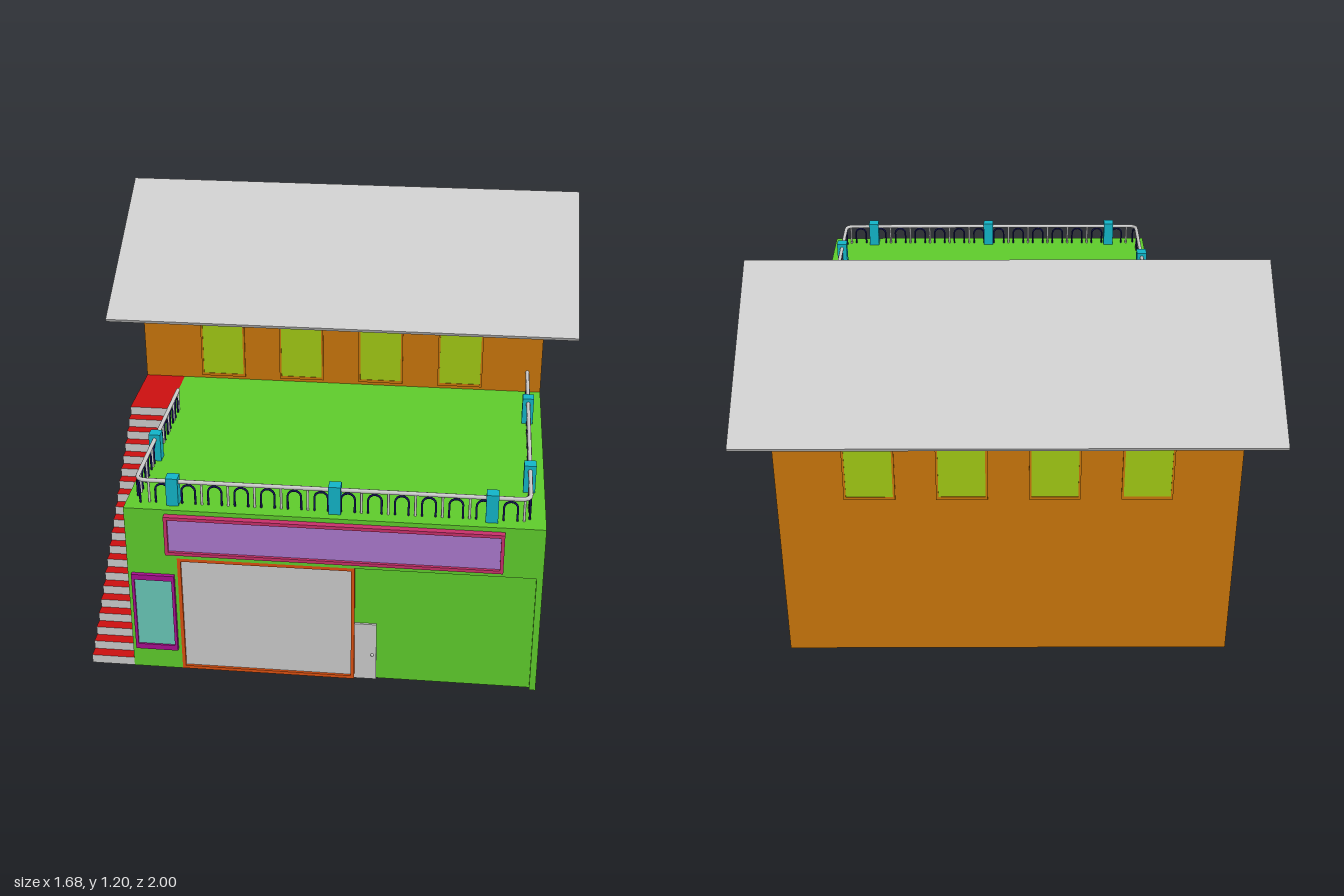
import * as THREE from 'three';

const mat = (color) => new THREE.MeshStandardMaterial({ color, side: THREE.DoubleSide });
const GREY = mat(0xcccccc), GREEN = mat(0x5fcc2c), ORANGE = mat(0xc8750b), RED = mat(0xcc1010);
const LIME = mat(0xa0c814), CYAN = mat(0x12b4c8), NAVY = mat(0x14145a), PINK = mat(0xc8306a);
const MAGENTA = mat(0xa81090), PURPLE = mat(0xaa78cc), TEAL = mat(0x68c8b8), RUST = mat(0xdc5010);

export function createModel() {
  const model = new THREE.Group();
  const add = (name, geometry, material, parent = model) => {
    const mesh = new THREE.Mesh(geometry, material);
    mesh.name = name;
    parent.add(mesh);
    return mesh;
  };
  const group = (name) => {
    const g = new THREE.Group();
    g.name = name;
    model.add(g);
    return g;
  };
  const box = (name, [x0, x1], [y0, y1], [z0, z1], material, parent) => {
    const m = add(name, new THREE.BoxGeometry(x1 - x0, y1 - y0, z1 - z0), material, parent);
    m.position.set((x0 + x1) / 2, (y0 + y1) / 2, (z0 + z1) / 2);
    return m;
  };
  const shapeOf = (points) => new THREE.Shape(points.map(([a, b]) => new THREE.Vector2(a, b)));
  // Side profile of [z, y] points swept along x
  const sweepX = (name, profile, x0, x1, material) => {
    const g = new THREE.ExtrudeGeometry(shapeOf(profile.map(([z, y]) => [-z, y])),
      { depth: x1 - x0, bevelEnabled: false });
    g.rotateY(Math.PI / 2).translate(x0, 0, 0);
    return add(name, g, material);
  };
  // Rectangular frame with a hole, facing z
  const frame = (name, [x0, x1], [y0, y1], [z0, z1], bx, by, material, parent) => {
    const s = shapeOf([[x0, y0], [x1, y0], [x1, y1], [x0, y1]]);
    s.holes.push(shapeOf([[x0 + bx, y0 + by], [x0 + bx, y1 - by], [x1 - bx, y1 - by], [x1 - bx, y0 + by]]));
    const g = new THREE.ExtrudeGeometry(s, { depth: z1 - z0, bevelEnabled: false });
    return add(name, g.translate(0, 0, z0), material, parent);
  };

  // House body with gables, and its thin roof
  sweepX('houseWalls', [[0.03, 0], [0.03, 0.88], [-0.445, 1.182], [-0.92, 0.88], [-0.92, 0]], -0.72, 0.72, ORANGE);
  sweepX('roof', [[0.105, 0.835], [0.11, 0.846], [-0.445, 1.198], [-1, 0.846], [-0.995, 0.835], [-0.445, 1.185]],
    -0.84, 0.84, GREY);

  // Upper windows, front and back
  const windows = group('upperWindows');
  for (const x of [-0.432, -0.145, 0.143, 0.43]) {
    for (const [z0, z1] of [[0.03, 0.036], [-0.926, -0.92]]) {
      const mid = (z0 + z1) / 2;
      frame('windowFrame', [x - 0.08, x + 0.08], [0.607, 0.862], [z0, z1], 0.007, 0.01, ORANGE, windows);
      box('windowPane', [x - 0.073, x + 0.073], [0.617, 0.852], [mid - 0.001, mid + 0.001], LIME, windows);
    }
  }

  // Ground-floor annex with a shallow opening in its front
  box('annexBody', [-0.58, 0.72], [0, 0.595], [0.03, 0.967], GREEN);
  const facade = shapeOf([[-0.58, 0], [-0.42, 0], [-0.42, 0.42], [0.7, 0.42], [0.7, 0],
    [0.72, 0], [0.72, 0.595], [-0.58, 0.595]]);
  add('annexFacade', new THREE.ExtrudeGeometry(facade, { depth: 0.013, bevelEnabled: false }).translate(0, 0, 0.967), GREEN);

  // Garage door and small door
  frame('garageFrame', [-0.42, 0.14], [0, 0.42], [0.967, 0.98], 0.011, 0.011, RUST);
  box('garageDoor', [-0.409, 0.129], [0.011, 0.409], [0.967, 0.972], GREY);
  box('sideDoor', [0.14, 0.21], [0, 0.21], [0.967, 0.974], GREY);
  const knob = add('doorKnob', new THREE.SphereGeometry(0.005, 12, 8), GREY);
  knob.position.set(0.197, 0.095, 0.976);

  // Sign board and ground-floor window
  frame('signFrame', [-0.452, 0.597], [0.443, 0.58], [0.98, 1], 0.011, 0.011, PINK);
  box('signPanel', [-0.441, 0.586], [0.454, 0.569], [0.98, 0.991], PURPLE);
  frame('lowerWindowFrame', [-0.567, -0.43], [0.077, 0.36], [0.98, 0.993], 0.009, 0.019, MAGENTA);
  box('lowerWindowPane', [-0.558, -0.439], [0.096, 0.341], [0.98, 0.987], TEAL);

  // Outside stair: treads, risers, landing and a stepped outer wall, open below
  const stairs = group('stairs');
  const steps = 20, topY = 0.595, z0 = 0.98, z1 = 0.26;
  const rise = topY / steps, run = (z0 - z1) / steps, midX = -0.65, width = 0.14;
  const outline = [[-z0, 0]];
  const tread = (name, za, zb, y) => {
    const g = new THREE.PlaneGeometry(width, za - zb).rotateX(-Math.PI / 2);
    add(name, g, RED, stairs).position.set(midX, y, (za + zb) / 2);
  };
  for (let i = 0; i < steps; i++) {
    const z = z0 - i * run, y = (i + 1) * rise;
    add('riser', new THREE.PlaneGeometry(width, rise), GREY, stairs).position.set(midX, y - rise / 2, z);
    tread('tread', z, z - run, y);
    outline.push([-z, y], [-(z - run), y]);
  }
  tread('landing', z1, 0.03, topY);
  outline.push([-0.03, topY], [-0.03, 0]);
  add('stairSideWall', new THREE.ShapeGeometry(shapeOf(outline)).rotateY(Math.PI / 2).translate(-0.72, 0, 0), RED, stairs);

  // Terrace railing: round handrail with soft corners
  const railing = group('railing');
  const v = (x, z) => new THREE.Vector3(x, 0, z);
  const L = -0.545, R = 0.67, F = 0.935, c = 0.03;
  const path = new THREE.CurvePath();
  path.add(new THREE.LineCurve3(v(L, 0.3), v(L, F - c)));
  path.add(new THREE.QuadraticBezierCurve3(v(L, F - c), v(L, F), v(L + c, F)));
  path.add(new THREE.LineCurve3(v(L + c, F), v(R - c, F)));
  path.add(new THREE.QuadraticBezierCurve3(v(R - c, F), v(R, F), v(R, F - c)));
  path.add(new THREE.LineCurve3(v(R, F - c), v(R, 0.03)));
  add('handrail', new THREE.TubeGeometry(path, 200, 0.007, 8), GREY, railing).position.y = 0.672;

  // Arched balusters with plain bars between
  class Arch extends THREE.Curve {
    getPoint(t, out = new THREE.Vector3()) {
      const r = 0.021, leg = 0.045, arc = Math.PI * r, s = t * (2 * leg + arc);
      if (s < leg) return out.set(-r, s, 0);
      if (s > leg + arc) return out.set(r, 2 * leg + arc - s, 0);
      const a = Math.PI - (s - leg) / r;
      return out.set(r * Math.cos(a), leg + r * Math.sin(a), 0);
    }
  }
  const archGeo = new THREE.TubeGeometry(new Arch(), 20, 0.0035, 6);
  const barGeo = new THREE.CylinderGeometry(0.004, 0.004, 0.075, 8);
  const count = 33;
  for (let i = 0; i < count; i++) {
    const t = (i + 0.5) / count, p = path.getPointAt(t), d = path.getTangentAt(t);
    const arch = add('archBaluster', archGeo, NAVY, railing);
    arch.position.set(p.x, 0.595, p.z);
    arch.rotation.y = Math.atan2(-d.z, d.x);
    const q = path.getPointAt(i / count);
    add('barBaluster', barGeo, GREY, railing).position.set(q.x, 0.6325, q.z);
  }

  // Railing posts
  for (const [x, z] of [[L, 0.655], [-0.43, F], [0.075, F], [0.555, F], [R, 0.74], [R, 0.265]]) {
    box('railingPost', [x - 0.019, x + 0.019], [0.595, 0.69], [z - 0.019, z + 0.019], CYAN, railing);
  }
  return model;
}
